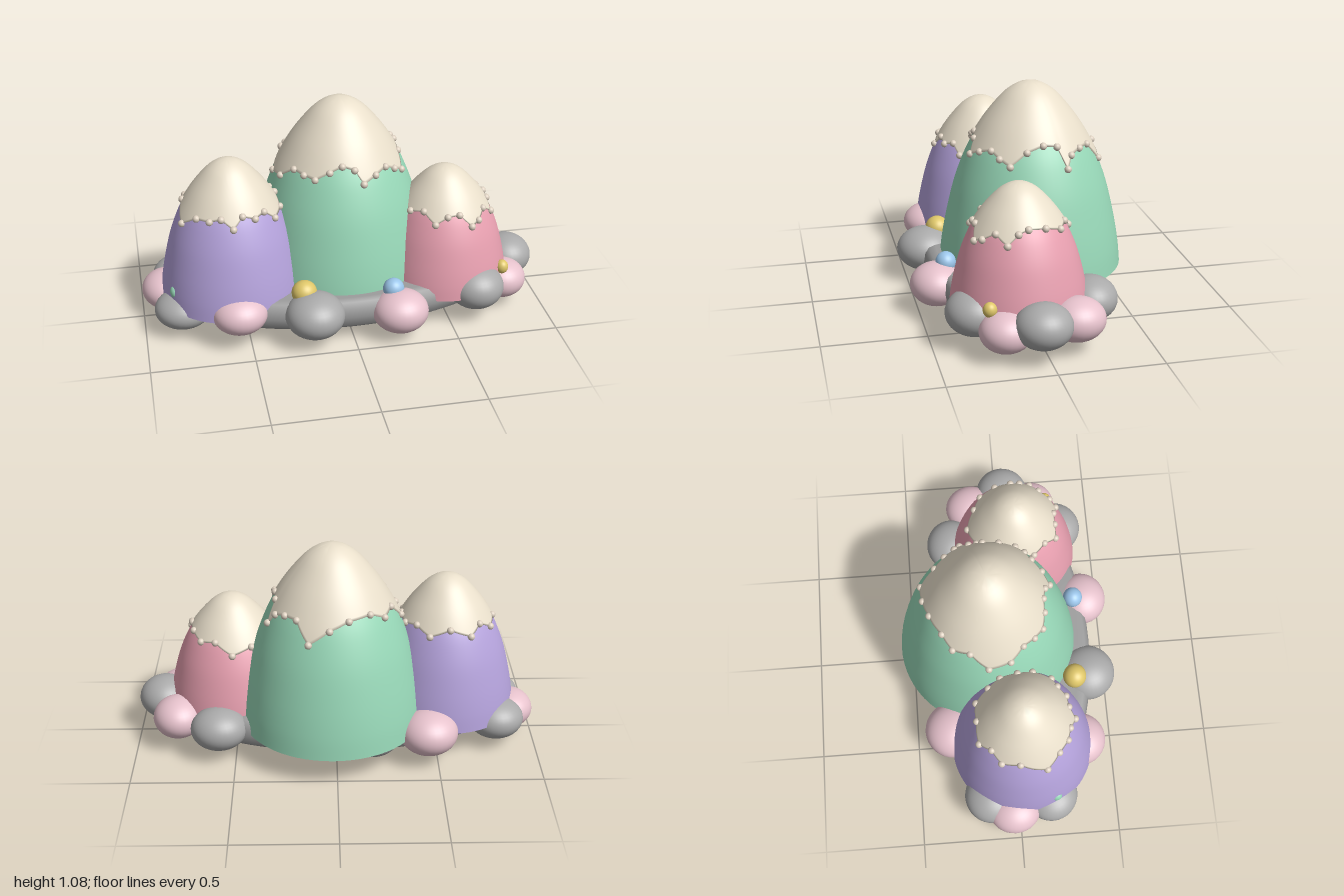
import * as THREE from 'three';
import { mergeVertices } from 'three/addons/utils/BufferGeometryUtils.js';

const material = (color) => new THREE.MeshStandardMaterial({ color });
const MAT = {
  grey: material(0xaaaaaa), base: material(0x9c9c9c), rose: material(0xe6c2cc),
  cream: material(0xe9dfcb), pearl: material(0xdccfbf),
  yellow: material(0xdfc76a), blue: material(0x9cc6ea), mint: material(0x98d8b8),
  violet: material(0xb5a3dc), pink: material(0xe8a0b0),
};

// Linear interpolation through [key, value] pairs sorted by key
function interp(pairs, k) {
  let i = 1;
  while (i < pairs.length - 1 && pairs[i][0] < k) i++;
  const [k0, v0] = pairs[i - 1], [k1, v1] = pairs[i];
  return v0 + (v1 - v0) * THREE.MathUtils.clamp((k - k0) / (k1 - k0), 0, 1);
}

// Dome profile shared by all mountains: radius and height, both 0..1
const PROFILE = new THREE.SplineCurve([
  [1, 0], [0.975, 0.12], [0.92, 0.27], [0.83, 0.45], [0.72, 0.6],
  [0.61, 0.71], [0.47, 0.82], [0.285, 0.93], [0.13, 0.983], [0, 1],
].map(([r, t]) => new THREE.Vector2(r, t))).getPoints(54);
const RADIUS_AT = PROFILE.map((p) => [p.y, Math.max(p.x, 0)]);

const BASE_Y = 0.15;

// Icing cap: a lathe whose lower edge follows the jagged rim
function capGeometry(m, rimAt) {
  const rings = 24, segments = 144;
  const dummy = Array.from({ length: rings + 1 }, (_, j) => new THREE.Vector2(1, j));
  const geo = new THREE.LatheGeometry(dummy, segments);
  const pos = geo.attributes.position;
  for (let i = 0; i < pos.count; i++) {
    const seg = Math.floor(i / (rings + 1)) % segments, j = i % (rings + 1);
    const deg = 180 - (360 * seg) / segments;
    const v = Math.max(j - 1, 0) / (rings - 1);
    const t = THREE.MathUtils.lerp(rimAt(deg), 1, v);
    const lip = j === 0 ? -0.006 : 0.008 * (1 - v);
    const r = j === rings ? 0 : interp(RADIUS_AT, t) * m.radius + lip;
    const a = THREE.MathUtils.degToRad(deg);
    pos.setXYZ(i, Math.cos(a) * r, t * m.height + 0.004 * v, Math.sin(a) * r);
  }
  geo.deleteAttribute('uv');
  geo.deleteAttribute('normal');
  const merged = mergeVertices(geo, 1e-5);
  merged.computeVertexNormals();
  return merged;
}

function createMountain(m) {
  const group = new THREE.Group();
  group.name = m.name;
  group.position.set(m.x, BASE_Y, m.z);

  const outline = PROFILE.map((p) => new THREE.Vector2(Math.max(p.x, 0) * m.radius, p.y * m.height));
  const body = new THREE.Mesh(new THREE.LatheGeometry(outline, 64), m.mat);
  body.name = 'mountainBody';
  const floor = new THREE.Mesh(new THREE.CircleGeometry(m.radius, 64), m.mat);
  floor.name = 'mountainUnderside';
  floor.rotation.x = Math.PI / 2;
  group.add(body, floor);

  // Rim heights wrap around the full circle
  const first = m.rim[0], last = m.rim[m.rim.length - 1];
  const rim = [[last[0] - 360, last[1]], ...m.rim, [first[0] + 360, first[1]]];
  const rimAt = (deg) => interp(rim, deg);
  const cap = new THREE.Mesh(capGeometry(m, rimAt), MAT.cream);
  cap.name = 'icingCap';
  group.add(cap);

  // Pearls along the rim
  const pearlGeo = new THREE.SphereGeometry(0.018, 14, 10);
  for (const [deg, t] of m.rim) {
    const a = THREE.MathUtils.degToRad(deg);
    const r = interp(RADIUS_AT, t) * m.radius + 0.006;
    const pearl = new THREE.Mesh(pearlGeo, MAT.pearl);
    pearl.name = 'rimPearl';
    pearl.position.set(Math.cos(a) * r, t * m.height, Math.sin(a) * r);
    group.add(pearl);
  }
  return group;
}

// rim: [angle from +x towards +z in degrees, height 0..1]
const MOUNTAINS = [
  { name: 'centreMountain', x: 0.02, z: -0.1, radius: 0.455, height: 0.925, mat: MAT.mint,
    rim: [[-178, 0.6], [-161, 0.69], [-144, 0.67], [-128, 0.71], [-105, 0.7], [-87, 0.66], [-70, 0.59],
      [-55, 0.69], [-40, 0.69], [-27, 0.67], [-20, 0.61], [-14, 0.72], [0, 0.73], [16, 0.7], [30, 0.63],
      [41, 0.66], [52, 0.69], [66, 0.67], [79, 0.64], [86, 0.71], [98, 0.73], [110, 0.7], [123, 0.66],
      [135, 0.67], [148, 0.68], [163, 0.62]] },
  { name: 'leftSideMountain', x: -0.55, z: 0.035, radius: 0.355, height: 0.705, mat: MAT.violet,
    rim: [[-172, 0.7], [-150, 0.67], [-132, 0.72], [-115, 0.66], [-90, 0.71], [-66, 0.66], [-45, 0.71],
      [-25, 0.69], [-3, 0.71], [15, 0.65], [37, 0.63], [50, 0.7], [65, 0.68], [80, 0.71], [92, 0.64],
      [106, 0.7], [120, 0.68], [138, 0.68], [158, 0.61]] },
  { name: 'rightSideMountain', x: 0.52, z: 0.07, radius: 0.325, height: 0.59, mat: MAT.pink,
    rim: [[-165, 0.66], [-140, 0.71], [-118, 0.66], [-93, 0.61], [-70, 0.7], [-48, 0.68], [-24, 0.72],
      [0, 0.73], [13, 0.7], [25, 0.62], [42, 0.69], [58, 0.63], [70, 0.6], [84, 0.7], [100, 0.69],
      [115, 0.63], [134, 0.71], [155, 0.68], [178, 0.71]] },
];

// Stones: [x, y, z, rx, ry, rz]
const GREY_STONES = [
  [-0.8, 0.14, -0.14, 0.14, 0.1, 0.135], [-0.81, 0.125, 0.16, 0.14, 0.092, 0.135],
  [-0.195, 0.16, 0.4, 0.145, 0.11, 0.145], [0.635, 0.17, 0.3, 0.14, 0.11, 0.14],
  [0.87, 0.18, 0.035, 0.13, 0.106, 0.135], [0.58, 0.16, -0.26, 0.14, 0.105, 0.13],
  [-0.17, 0.15, -0.32, 0.14, 0.1, 0.13], [0.3, 0.1, 0.07, 0.14, 0.1, 0.14],
  [0.03, 0.115, 0.16, 0.13, 0.095, 0.13],
];
const ROSE_STONES = [
  [-0.45, 0.16, -0.31, 0.145, 0.11, 0.145], [-0.88, 0.135, -0.03, 0.12, 0.095, 0.13],
  [-0.55, 0.17, 0.33, 0.135, 0.098, 0.13], [0.225, 0.142, 0.41, 0.138, 0.105, 0.13],
  [0.8, 0.138, 0.19, 0.125, 0.098, 0.125], [0.79, 0.16, -0.14, 0.125, 0.103, 0.135],
  [0.06, 0.15, -0.33, 0.13, 0.1, 0.13], [0.18, 0.12, 0.12, 0.12, 0.095, 0.12],
  [-0.163, 0.125, -0.09, 0.13, 0.095, 0.13],
];

function addEllipsoids(parent, name, list, mat) {
  const geo = new THREE.SphereGeometry(1, 32, 22);
  for (const [x, y, z, rx, ry, rz] of list) {
    const mesh = new THREE.Mesh(geo, mat);
    mesh.name = name;
    mesh.position.set(x, y, z);
    mesh.scale.set(rx, ry, rz);
    parent.add(mesh);
  }
}

export function createModel() {
  const model = new THREE.Group();
  model.name = 'mountainIsland';

  // Oval base slab with rounded rim
  const slabProfile = [[0, 0.05], [0.6, 0.052], [0.9, 0.065], [0.97, 0.09], [1, 0.14], [0.98, 0.185],
    [0.93, 0.21], [0.85, 0.218], [0, 0.218]].map(([r, y]) => new THREE.Vector2(r, y));
  const slab = new THREE.Mesh(new THREE.LatheGeometry(slabProfile, 72), MAT.base);
  slab.name = 'baseSlab';
  slab.scale.set(0.84, 1, 0.4);
  slab.position.z = 0.03;
  model.add(slab);

  MOUNTAINS.forEach((m) => model.add(createMountain(m)));
  addEllipsoids(model, 'greyStone', GREY_STONES, MAT.grey);
  addEllipsoids(model, 'roseStone', ROSE_STONES, MAT.rose);

  // Small coloured beads resting on the stones
  addEllipsoids(model, 'yellowBead', [[-0.235, 0.25, 0.33, 0.062, 0.06, 0.06],
    [0.78, 0.24, 0.26, 0.032, 0.036, 0.033]], MAT.yellow);
  addEllipsoids(model, 'blueBead', [[0.2, 0.24, 0.36, 0.052, 0.052, 0.05]], MAT.blue);
  addEllipsoids(model, 'mintBead', [[-0.845, 0.235, 0.18, 0.025, 0.035, 0.03]], MAT.mint);
  return model;
}
